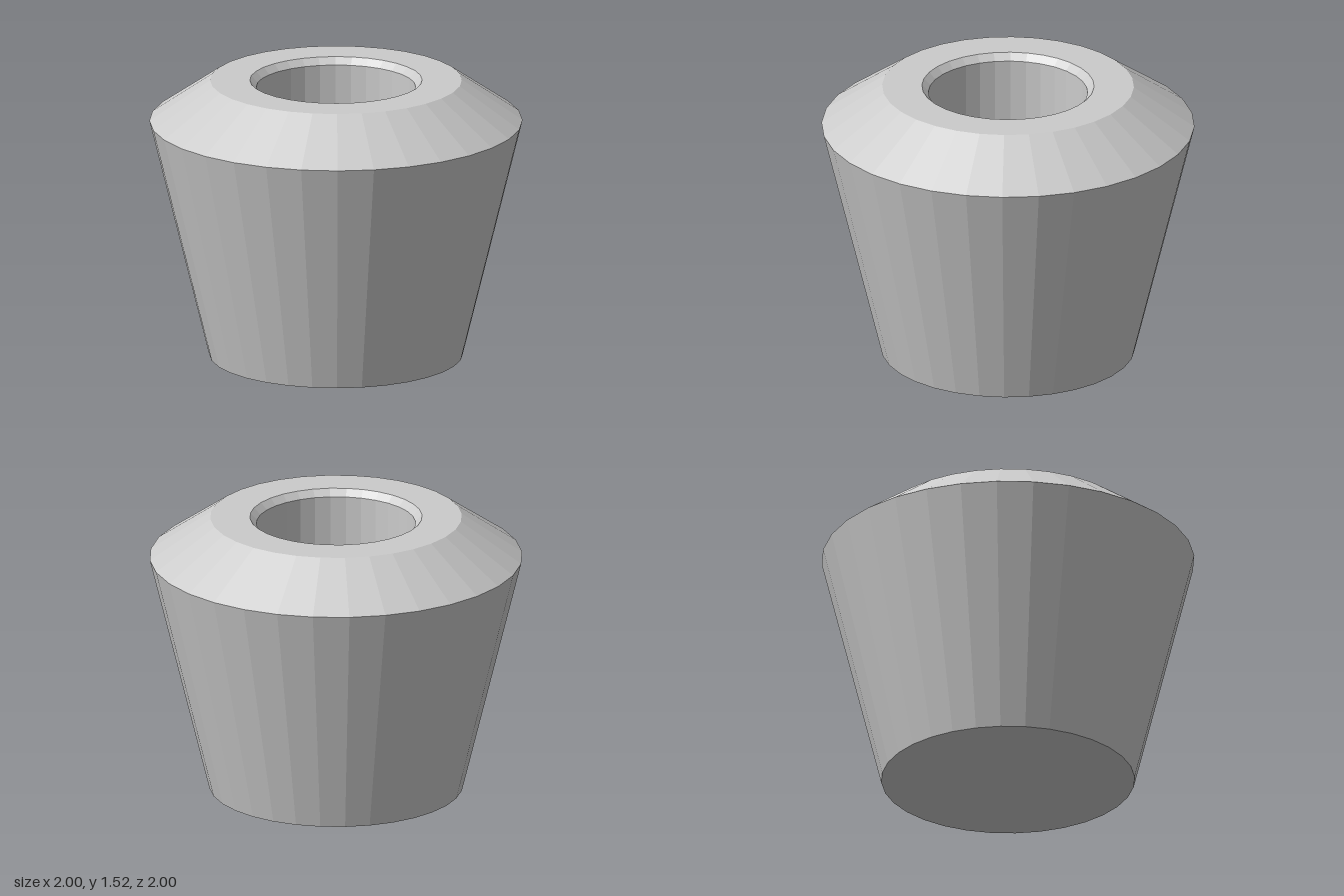
import * as THREE from 'three';

const SIDES = 32;

// Revolves a profile of [radius, height] points into a faceted surface
function turned(name, profile, material) {
  const points = profile.map(([r, y]) => new THREE.Vector2(r, y));
  const mesh = new THREE.Mesh(new THREE.LatheGeometry(points, SIDES), material);
  mesh.name = name;
  return mesh;
}

export function createModel() {
  const group = new THREE.Group();
  group.name = 'taperedPot';
  const material = new THREE.MeshStandardMaterial({ color: 0xcccccc, flatShading: true });

  group.add(
    // Flat base and flaring wall
    turned('body', [[0, 0], [0.68, 0], [1, 1.3]], material),
    // Sloping shoulder and flat rim
    turned('shoulder', [[1, 1.3], [0.675, 1.525], [0.462, 1.525]], material),
    // Bevelled mouth, straight well and its floor
    turned('well', [[0.462, 1.525], [0.427, 1.488], [0.427, 0.2], [0, 0.2]], material)
  );
  return group;
}
